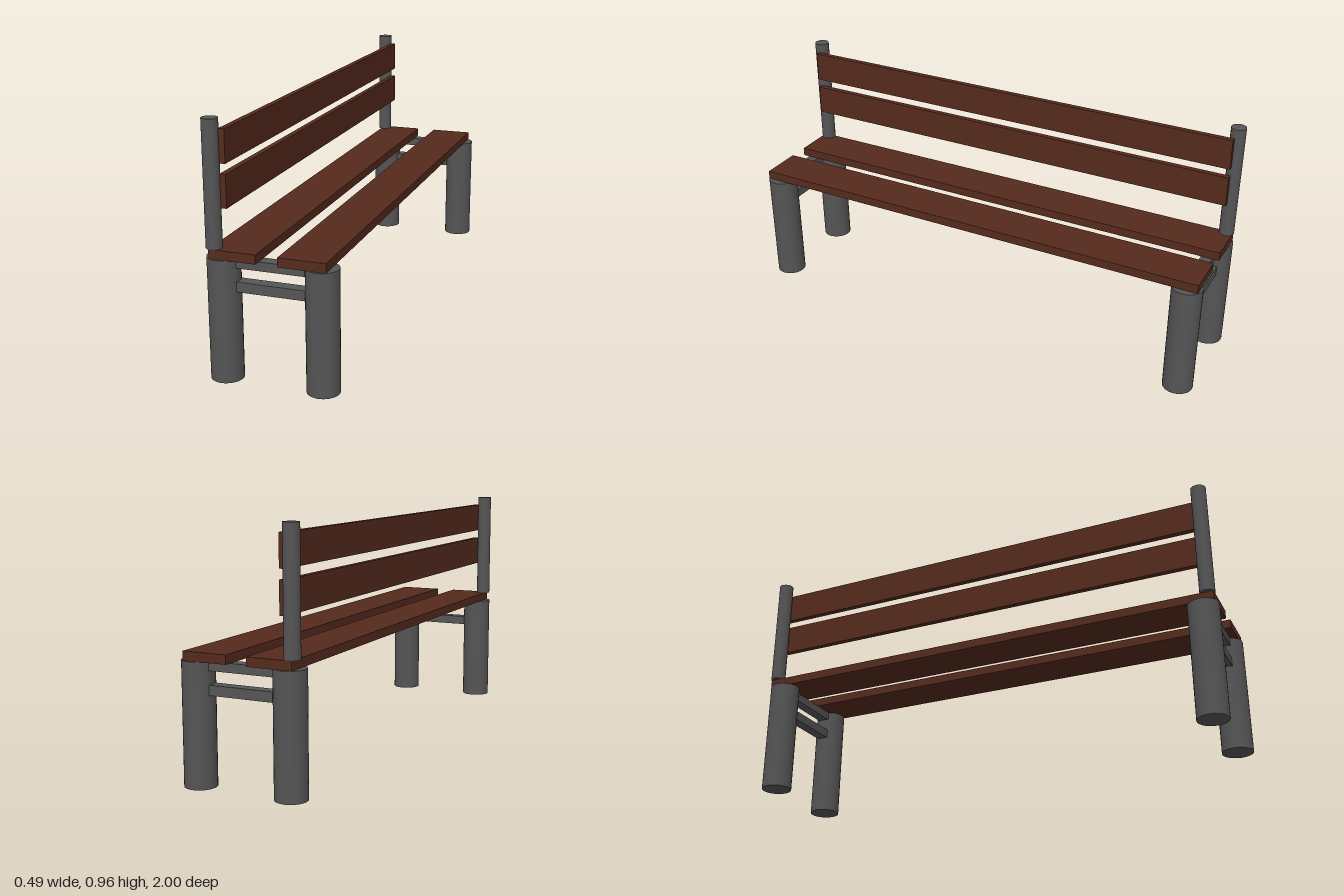
import * as THREE from 'three';

export function createModel() {
  const bench = new THREE.Group();
  bench.name = 'bench';
  const metal = new THREE.MeshStandardMaterial({ color: 0x555555 });
  const wood = new THREE.MeshStandardMaterial({ color: 0x552a1d });

  const add = (name, geometry, material, x, y, z) => {
    const mesh = new THREE.Mesh(geometry, material);
    mesh.name = name;
    mesh.position.set(x, y, z);
    bench.add(mesh);
  };
  // Box given by its x and y ranges, its length along z and its middle z
  const board = (name, material, [x0, x1], [y0, y1], length, z = 0) =>
    add(name, new THREE.BoxGeometry(x1 - x0, y1 - y0, length), material,
      (x0 + x1) / 2, (y0 + y1) / 2, z);

  const legGeometry = new THREE.CylinderGeometry(0.061, 0.061, 0.465, 32);
  const postGeometry = new THREE.CylinderGeometry(0.03, 0.03, 0.465, 32);

  // End frames: two legs, two cross bars and a back post each
  for (const [side, s] of [['left', 1], ['right', -1]]) {
    add(`${side}FrontLeg`, legGeometry, metal, 0.186, 0.2325, s * 0.939);
    add(`${side}BackLeg`, legGeometry, metal, -0.186, 0.2325, s * 0.939);
    add(`${side}BackPost`, postGeometry, metal, -0.209, 0.7325, s * 0.964);
    board(`${side}UpperCrossBar`, metal, [-0.13, 0.13], [0.431, 0.465], 0.046, s * 0.939);
    board(`${side}LowerCrossBar`, metal, [-0.13, 0.13], [0.342, 0.38], 0.046, s * 0.939);
  }

  // Seat planks
  board('rearSeatPlank', wood, [-0.22, -0.042], [0.465, 0.5], 1.98);
  board('frontSeatPlank', wood, [0.04, 0.218], [0.465, 0.5], 1.98);

  // Backrest planks
  board('lowerBackPlank', wood, [-0.181, -0.158], [0.645, 0.768], 1.92);
  board('upperBackPlank', wood, [-0.181, -0.158], [0.805, 0.928], 1.92);

  return bench;
}
